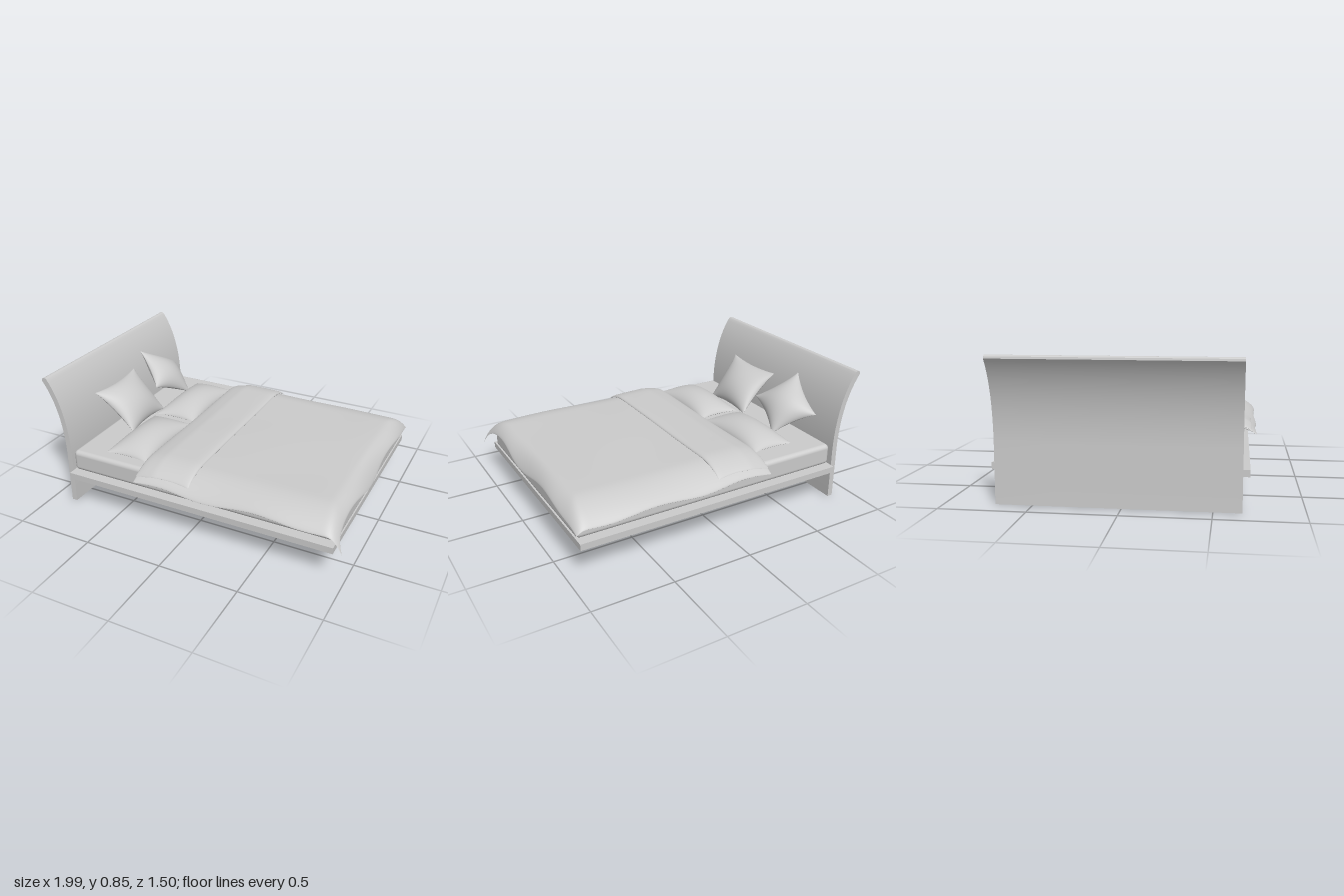
import * as THREE from 'three';
import { toCreasedNormals } from 'three/addons/utils/BufferGeometryUtils.js';
import { RoundedBoxGeometry } from 'three/addons/geometries/RoundedBoxGeometry.js';

const material = new THREE.MeshStandardMaterial({ color: 0xcccccc, side: THREE.DoubleSide });

function addMesh(group, name, geometry) {
  const mesh = new THREE.Mesh(geometry, material);
  mesh.name = name;
  group.add(mesh);
  return mesh;
}

// Closed soft form: an upper and a lower sheet that meet along a seam.
// point(s, t, side) gives a Vector3 for s, t in -1..1; side is 1 (upper) or -1 (lower).
function softShell(ns, nt, point) {
  const positions = [], indices = [];
  const spread = (i, n) => Math.sin((i / n - 0.5) * Math.PI);
  for (const side of [1, -1]) {
    const base = positions.length / 3;
    for (let j = 0; j <= nt; j++) {
      for (let i = 0; i <= ns; i++) positions.push(...point(spread(i, ns), spread(j, nt), side).toArray());
    }
    for (let j = 0; j < nt; j++) {
      for (let i = 0; i < ns; i++) {
        const a = base + j * (ns + 1) + i, b = a + 1, c = a + ns + 1, d = c + 1;
        if (side > 0) indices.push(a, c, b, b, c, d);
        else indices.push(a, b, c, b, d, c);
      }
    }
  }
  const geometry = new THREE.BufferGeometry();
  geometry.setAttribute('position', new THREE.Float32BufferAttribute(positions, 3));
  geometry.setIndex(indices);
  geometry.computeVertexNormals();
  return geometry;
}

// Pillow stretched between four corners, with sides pulled in between them
function pillow(corners, pinch, puffUp, puffDown) {
  const c = corners.map((p) => new THREE.Vector3(...p));
  const normal = c[2].clone().sub(c[0]).cross(c[1].clone().sub(c[3])).normalize();
  return softShell(24, 24, (s, t, side) => {
    const u = (s * (1 - pinch * (1 - t * t)) + 1) / 2;
    const v = (t * (1 - pinch * (1 - s * s)) + 1) / 2;
    const p = c[0].clone().lerp(c[1], u).lerp(c[3].clone().lerp(c[2], u), v);
    const swell = Math.pow(Math.max(0, (1 - s * s) * (1 - t * t)), 0.6);
    return p.addScaledVector(normal, swell * (side > 0 ? puffUp : -puffDown));
  });
}

// Height of the bed cover's middle layer: flat on top, sinking at the sides and foot
function coverHeight(x, z) {
  const ez = Math.max(0, (Math.abs(z) - 0.52) / 0.22);
  const ex = Math.max(0, (x - 0.85) / 0.11);
  const sideDrop = (0.068 + 0.006 * Math.sin(x * 9)) * ez * ez;
  const footDrop = (0.072 + 0.02 * Math.cos(z * 8)) * ex * ex;
  const ripple = 0.004 * Math.sin(5 * x + 2 * z) * Math.cos(4 * z - x);
  return 0.396 + ripple - Math.hypot(sideDrop, footDrop);
}

const rim = (s, t) => Math.sqrt(Math.max(0, (1 - s ** 8) * (1 - t ** 8)));

export function createModel() {
  const bed = new THREE.Group();
  bed.name = 'bed';

  // Headboard: a slab whose top sweeps backwards
  const side = new THREE.Shape();
  side.moveTo(-0.872, 0);
  side.lineTo(-0.837, 0);
  side.lineTo(-0.835, 0.35);
  side.bezierCurveTo(-0.838, 0.55, -0.88, 0.72, -0.965, 0.84);
  side.quadraticCurveTo(-0.98, 0.853, -0.997, 0.838);
  side.lineTo(-0.999, 0.826);
  side.bezierCurveTo(-0.915, 0.71, -0.872, 0.55, -0.87, 0.35);
  side.closePath();
  const board = new THREE.ExtrudeGeometry(side, { depth: 1.37, bevelEnabled: false, curveSegments: 20 });
  board.translate(0, 0, -0.712);
  addMesh(bed, 'headboard', toCreasedNormals(board, 0.5));

  // Frame: a flat ring under the mattress
  const ring = new THREE.Shape();
  ring.moveTo(-0.835, -0.74).lineTo(0.93, -0.74).lineTo(0.93, 0.697).lineTo(-0.835, 0.697).closePath();
  const opening = new THREE.Path();
  opening.moveTo(-0.70, -0.61).lineTo(-0.70, 0.567).lineTo(0.80, 0.567).lineTo(0.80, -0.61).closePath();
  ring.holes.push(opening);
  const frame = new THREE.ExtrudeGeometry(ring, { depth: 0.04, bevelEnabled: false });
  frame.rotateX(Math.PI / 2).translate(0, 0.231, 0);
  addMesh(bed, 'frame', frame);

  // Mattress
  const mattress = addMesh(bed, 'mattress', new RoundedBoxGeometry(1.762, 0.137, 1.34, 5, 0.028));
  mattress.position.set(0.049, 0.2995, -0.022);

  // Duvet, with wavy hems and one foot corner pulled out
  addMesh(bed, 'duvet', softShell(72, 72, (s, t, layer) => {
    const corner = Math.max(0, s) ** 24 * Math.max(0, t) ** 24;
    const x = 0.317 + 0.637 * s + Math.max(0, s) ** 6 * 0.007 * Math.sin(t * 7) + 0.035 * corner;
    const z = -0.005 + 0.745 * t + t ** 7 * 0.006 * Math.sin(x * 11);
    const y = coverHeight(x, z) + (layer > 0 ? 0.028 : -0.018) * rim(s, t);
    return new THREE.Vector3(x, y, z);
  }));

  // Turned-back band at the head of the duvet
  addMesh(bed, 'duvetFold', softShell(28, 60, (s, t, layer) => {
    const x = -0.14 + 0.18 * s;
    const z = -0.006 + 0.714 * t + t ** 7 * 0.004 * Math.sin(x * 20);
    const headSlope = 0.022 * Math.max(0, (-0.2 - x) / 0.12);
    const lift = 0.029 - headSlope + (layer > 0 ? 0.018 : -0.012) * rim(s, t);
    return new THREE.Vector3(x, coverHeight(x, z) + lift, z);
  }));

  // Sleeping pillows lying flat, side by side
  [['rightSide', -0.575, -0.005], ['leftSide', 0.025, 0.59]].forEach(([label, z0, z1]) => {
    addMesh(bed, label + 'FlatPillow', pillow([
      [-0.61, 0.385, z0], [-0.325, 0.385, z0], [-0.325, 0.385, z1], [-0.615, 0.385, z1],
    ], 0.06, 0.08, 0.03));
  });

  // Cushions leaning on the headboard: one upright, one on its corner
  addMesh(bed, 'uprightCushion', pillow([
    [-0.835, 0.652, -0.085], [-0.595, 0.4, -0.075], [-0.595, 0.4, 0.315], [-0.83, 0.655, 0.37],
  ], 0.1, 0.08, 0.06));
  addMesh(bed, 'tiltedCushion', pillow([
    [-0.892, 0.708, -0.262], [-0.80, 0.535, -0.57], [-0.58, 0.39, -0.41], [-0.67, 0.53, -0.105],
  ], 0.12, 0.075, 0.065));

  return bed;
}
